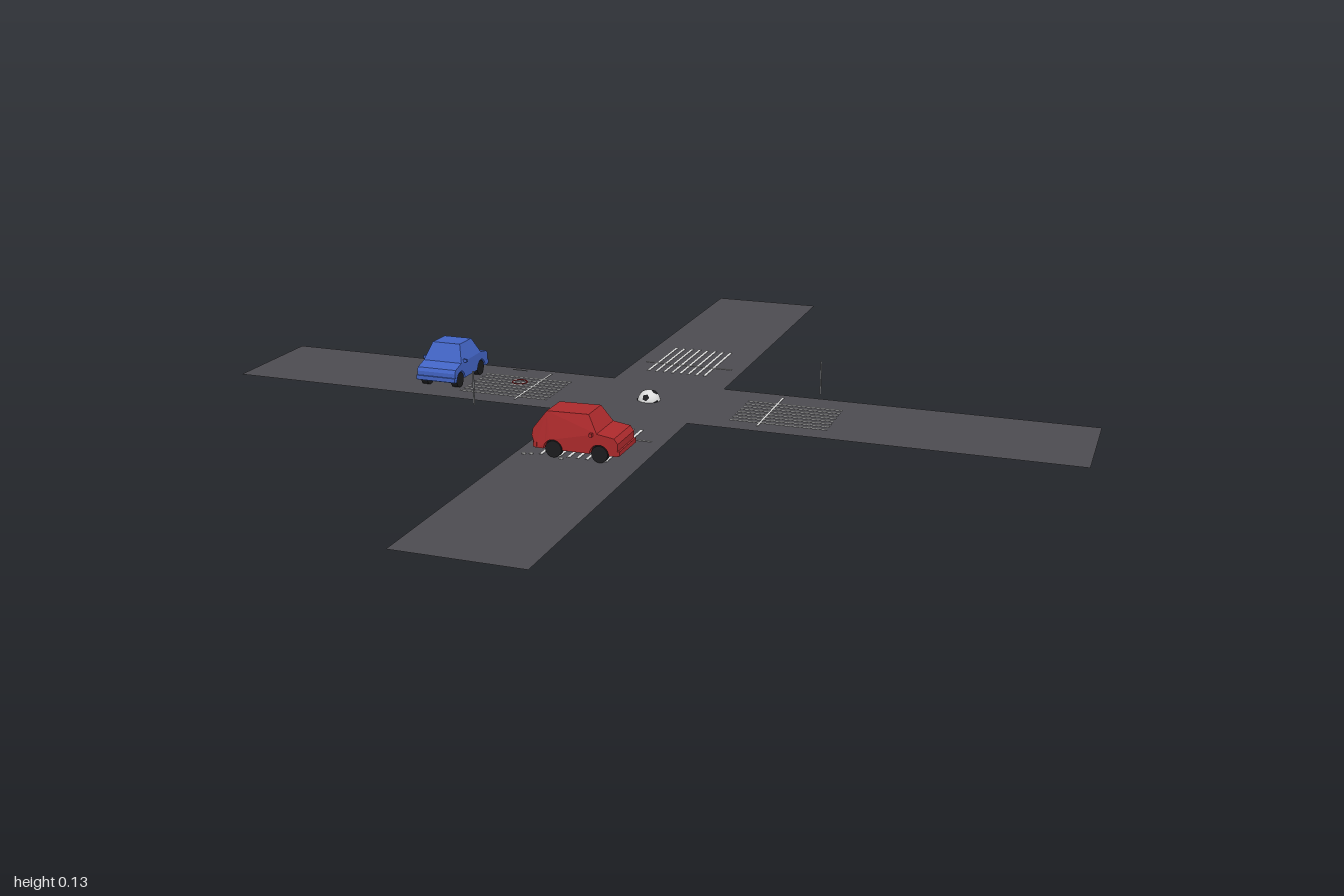
import * as THREE from 'three';

const mat = (name, color, side = THREE.FrontSide) => {
  const m = new THREE.MeshStandardMaterial({ color, side });
  m.name = name;
  return m;
};

export function createModel() {
  const asphalt = mat('asphalt', 0x4c4b50, THREE.DoubleSide);
  const white = mat('white paint', 0xdcdcdc);
  const red = mat('red paint', 0xac2a2c);
  const blue = mat('blue paint', 0x4264c4);
  const black = mat('black rubber', 0x1c1c1e);
  const steel = mat('steel', 0x85878a);

  const ROAD_Y = 0.03, HALF = 0.138;
  const root = new THREE.Group();
  root.name = 'crossroads';

  const add = (parent, name, geo, material, x = 0, y = 0, z = 0) => {
    const m = new THREE.Mesh(geo, material);
    m.name = name;
    m.position.set(x, y, z);
    parent.add(m);
    return m;
  };
  const box = (parent, name, material, w, h, d, x, y, z) =>
    add(parent, name, new THREE.BoxGeometry(w, h, d), material, x, y, z);

  // Cross-shaped road surface
  const outline = [];
  for (let i = 0; i < 4; i++) {
    const c = Math.round(Math.cos(i * Math.PI / 2)), s = Math.round(Math.sin(i * Math.PI / 2));
    for (const [x, y] of [[1, -HALF], [1, HALF], [HALF, HALF]])
      outline.push(new THREE.Vector2(c * x - s * y, s * x + c * y));
  }
  const road = new THREE.ShapeGeometry(new THREE.Shape(outline));
  road.rotateX(-Math.PI / 2);
  add(root, 'road', road, asphalt, 0, ROAD_Y, 0);

  // Zebra crossings with a stop line on all four arms
  const crossing = (name, alongX, side) => {
    const g = new THREE.Group();
    g.name = name;
    const strip = (label, len, wide, along, across, y) => alongX
      ? box(g, label, white, len, 0.001, wide, along, y, across)
      : box(g, label, white, wide, 0.001, len, across, y, along);
    for (let i = 0; i < 8; i++)
      strip('zebraStripe', 0.22, 0.007, side * 0.33, -0.081 + i * 0.0205 + (alongX ? 0.02 : 0), ROAD_Y + 0.002);
    strip('stopLine', 0.005, 0.22, side * 0.29, 0, ROAD_Y + 0.003);
    root.add(g);
  };
  crossing('leftCrossing', true, 1);
  crossing('rightCrossing', true, -1);
  crossing('frontCrossing', false, 1);
  crossing('backCrossing', false, -1);

  // Thin roadside poles on opposite corners
  for (const s of [1, -1])
    box(root, 'pole', steel, 0.003, 0.08, 0.003, s * 0.361, ROAD_Y + 0.04, -s * 0.174);

  // Patched ball in the middle of the junction
  const ball = new THREE.Group();
  ball.name = 'ball';
  ball.position.y = 0.027;
  add(ball, 'ballSkin', new THREE.SphereGeometry(0.0265, 20, 14), white);
  const phi = (1 + Math.sqrt(5)) / 2;
  for (const a of [1, -1]) for (const b of [phi, -phi])
    for (const v of [[0, a, b], [a, b, 0], [b, 0, a]]) {
      const dir = new THREE.Vector3(...v).normalize();
      const patch = add(ball, 'ballPatch', new THREE.CircleGeometry(0.0085, 5), black);
      patch.position.copy(dir).multiplyScalar(0.0267);
      patch.quaternion.setFromUnitVectors(new THREE.Vector3(0, 0, 1), dir);
    }
  root.add(ball);

  // Car: side profile with wheel arches, extruded across and narrowed above the belt line
  const car = (name, paint, profile, axles, width) => {
    const g = new THREE.Group();
    g.name = name;
    const shape = new THREE.Shape();
    profile.forEach(([x, y], i) => (i ? shape.lineTo(x, y) : shape.moveTo(x, y)));
    for (const ax of axles) {
      shape.lineTo(ax + 0.021, 0.018);
      shape.absarc(ax, 0.018, 0.021, 0, Math.PI, false);
    }
    shape.closePath();
    const geo = new THREE.ExtrudeGeometry(shape, { depth: width, bevelEnabled: false, curveSegments: 6 });
    geo.translate(0, 0, -width / 2);
    const p = geo.attributes.position;
    for (let i = 0; i < p.count; i++)
      if (p.getY(i) > 0.065) p.setZ(i, p.getZ(i) * 0.72);
    geo.computeVertexNormals();
    add(g, 'body', geo, paint);

    for (const ax of axles) {
      box(g, 'axle', black, 0.044, 0.022, width * 0.7, ax, 0.026, 0);
      for (const s of [1, -1]) {
        const tyre = new THREE.CylinderGeometry(0.018, 0.018, 0.016, 16);
        tyre.rotateX(Math.PI / 2);
        add(g, 'wheel', tyre, black, ax, 0.018, s * (width / 2 - 0.01));
      }
    }
    // Bumpers and door mirrors
    const front = profile[profile.length - 1][0], back = profile[0][0];
    for (const x of [front, back])
      box(g, 'bumper', paint, 0.008, 0.01, width + 0.002, x, 0.025, 0);
    for (const s of [1, -1])
      box(g, 'mirror', paint, 0.006, 0.007, 0.009, 0.036, 0.06, s * (width / 2 + 0.003));
    root.add(g);
    return g;
  };

  const redCar = car('redEstateCar', red, [
    [-0.09, 0.018], [-0.097, 0.045], [-0.094, 0.06], [-0.068, 0.096], [0.025, 0.098],
    [0.047, 0.062], [0.085, 0.056], [0.093, 0.045], [0.093, 0.018],
  ], [0.052, -0.05], 0.096);
  redCar.position.set(0, ROAD_Y, 0.4);
  box(redCar, 'towStep', black, 0.022, 0.014, 0.04, -0.096, 0.02, 0);

  const blueCar = car('blueSaloonCar', blue, [
    [-0.09, 0.018], [-0.092, 0.045], [-0.085, 0.053], [-0.054, 0.058], [-0.032, 0.096],
    [0.03, 0.097], [0.052, 0.057], [0.083, 0.048], [0.088, 0.04], [0.088, 0.018],
  ], [0.056, -0.055], 0.098);
  blueCar.position.set(-0.5, ROAD_Y, 0);
  blueCar.rotation.y = -Math.PI / 2;

  // Small red ring and bar over the right-hand crossing
  const ring = new THREE.TorusGeometry(0.018, 0.0015, 5, 12);
  ring.rotateX(Math.PI / 2);
  add(root, 'redRing', ring, red, -0.325, ROAD_Y + 0.01, 0);
  box(root, 'thinBar', steel, 0.036, 0.002, 0.002, -0.323, 0.069, 0);

  // Loose chips on the road behind the red car
  for (const [x, z] of [[-0.115, 0.45], [-0.11, 0.38], [-0.03, 0.453], [-0.1, 0.445]])
    box(root, 'chip', white, 0.008, 0.003, 0.005, x, ROAD_Y + 0.003, z);

  return root;
}
